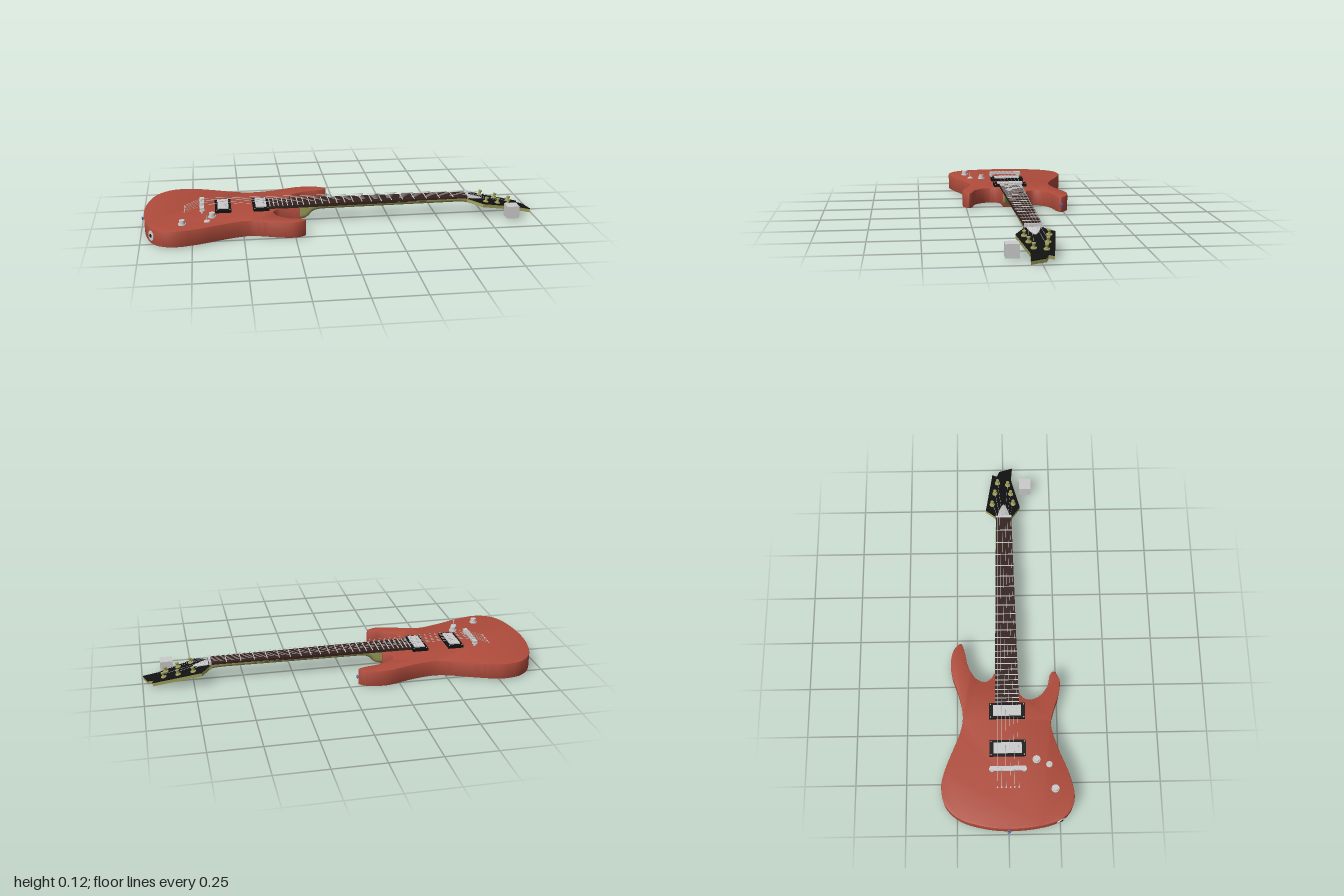
import * as THREE from 'three';
import { toCreasedNormals } from 'three/addons/utils/BufferGeometryUtils.js';

const mat = (color) => new THREE.MeshStandardMaterial({ color });
const RED = mat(0xb04c3c), WOOD = mat(0xa0a05c), BLACK = mat(0x111111), ROSE = mat(0x35221e);
const GREY = mat(0xcccccc), BLUE = mat(0x6a5fb0);
const V2 = (p) => new THREE.Vector2(p[0], p[1]);

function add(parent, name, geo, material, x = 0, y = 0, z = 0) {
  const m = new THREE.Mesh(geo, material);
  m.name = name;
  m.position.set(x, y, z);
  parent.add(m);
  return m;
}
const box = (w, h, d) => new THREE.BoxGeometry(w, h, d);
const cyl = (r1, r2, h, n = 24) => new THREE.CylinderGeometry(r1, r2, h, n);

// Plan outline in (x, z), extruded downwards from y = 0
function slab(shape, depth, bevel = 0) {
  const g = new THREE.ExtrudeGeometry(shape, {
    depth: depth - 2 * bevel, bevelEnabled: bevel > 0, bevelSize: bevel,
    bevelThickness: bevel, bevelOffset: -bevel, bevelSegments: 2, curveSegments: 12,
  });
  g.translate(0, 0, bevel);
  g.rotateX(Math.PI / 2);
  return toCreasedNormals(g, 0.5);
}

// Skin through D-shaped sections [x, halfWidth, topY, bottomY, squareness]
function neckLoft(sections, n = 16) {
  const pos = [], idx = [];
  for (const [x, w, top, bottom, sq] of sections) {
    for (let i = 0; i <= n; i++) {
      const a = (i / n) * Math.PI, c = Math.cos(a), s = Math.sin(a);
      pos.push(x, top - (top - bottom) * Math.pow(s, sq), w * Math.sign(c) * Math.pow(Math.abs(c), sq));
    }
  }
  const row = n + 1;
  for (let j = 0; j < sections.length - 1; j++) {
    for (let i = 0; i < row; i++) {
      const k = (i + 1) % row, a = j * row + i, b = j * row + k;
      idx.push(a, b, a + row, b, b + row, a + row);
    }
  }
  const last = (sections.length - 1) * row;
  for (let i = 1; i < n; i++) {
    idx.push(0, i + 1, i);
    idx.push(last, last + i, last + i + 1);
  }
  const g = new THREE.BufferGeometry();
  g.setAttribute('position', new THREE.Float32BufferAttribute(pos, 3));
  g.setIndex(idx);
  return toCreasedNormals(g, 0.6);
}

export function createModel() {
  const guitar = new THREE.Group();
  guitar.name = 'guitar';
  const TOP = 0.086, NUT = 0.66, SCALE = 1.36, END = -0.365;

  // Body: one smooth outline from the neck joint round to the other side of it
  const outline = [
    [-0.21, -0.062], [-0.235, -0.08], [-0.25, -0.11], [-0.23, -0.155], [-0.165, -0.193], [-0.08, -0.212],
    [-0.045, -0.232], [-0.08, -0.265], [-0.14, -0.279], [-0.21, -0.274], [-0.32, -0.238], [-0.425, -0.22],
    [-0.51, -0.233], [-0.64, -0.286], [-0.72, -0.315], [-0.79, -0.325], [-0.87, -0.305], [-0.935, -0.235],
    [-0.972, -0.12], [-0.985, 0], [-0.976, 0.13], [-0.95, 0.235], [-0.905, 0.295], [-0.83, 0.32],
    [-0.72, 0.297], [-0.6, 0.25], [-0.48, 0.216], [-0.4, 0.232], [-0.32, 0.259], [-0.25, 0.267],
    [-0.2, 0.242], [-0.22, 0.218], [-0.28, 0.203], [-0.33, 0.16], [-0.346, 0.11], [-0.325, 0.07], [-0.28, 0.058],
  ].map(V2);
  const bodyShape = new THREE.Shape(new THREE.SplineCurve(outline).getPoints(180));
  bodyShape.lineTo(-0.21, 0.056);
  add(guitar, 'body', slab(bodyShape, 0.081, 0.003), RED, 0, TOP, 0);

  // Neck with its curved heel
  add(guitar, 'neck', neckLoft([
    [-0.22, 0.056, 0.09, 0.018, 0.3], [-0.185, 0.056, 0.09, 0.022, 0.35], [-0.165, 0.055, 0.09, 0.033, 0.45],
    [-0.15, 0.055, 0.09, 0.05, 0.6], [-0.13, 0.054, 0.09, 0.06, 0.7], [-0.1, 0.054, 0.09, 0.064, 0.8],
    [0.6, 0.043, 0.09, 0.066, 0.8], [0.64, 0.042, 0.09, 0.066, 0.6], [0.69, 0.042, 0.08, 0.062, 0.4],
  ]), WOOD);

  // Fretboard, frets and nut
  const halfWidth = (x) => 0.041 + (NUT - x) * 0.0185;
  const board = new THREE.Shape([[END, halfWidth(END)], [NUT, halfWidth(NUT)],
    [NUT, -halfWidth(NUT)], [END, -halfWidth(END)]].map(V2));
  add(guitar, 'fretboard', slab(board, 0.015), ROSE, 0, 0.1, 0);
  for (let n = 1; n <= 24; n++) {
    const x = NUT - SCALE * (1 - Math.pow(2, -n / 12));
    add(guitar, 'fret', box(0.004, 0.003, 2 * halfWidth(x)), GREY, x, 0.101, 0);
  }
  add(guitar, 'nut', box(0.01, 0.022, 0.084), GREY, NUT + 0.004, 0.095, 0);

  // Headstock, tilted back, in its own frame
  const head = new THREE.Group();
  head.name = 'headstock';
  head.position.set(NUT, 0.089, 0);
  head.rotation.z = -0.2;
  guitar.add(head);
  const headShape = new THREE.Shape([
    [0, -0.041], [0.015, -0.046], [0.055, -0.094], [0.3, -0.057], [0.288, -0.032], [0.322, -0.02],
    [0.344, 0.05], [0.265, 0.043], [0.075, 0.087], [0.015, 0.046], [0, 0.041],
  ].map(V2));
  add(head, 'headstockFace', slab(headShape, 0.004), BLACK);
  add(head, 'headstockWood', slab(headShape, 0.017), WOOD, 0, -0.004, 0);
  const cover = new THREE.Shape();
  cover.moveTo(0.012, -0.032);
  cover.quadraticCurveTo(0.055, -0.025, 0.085, -0.006);
  cover.quadraticCurveTo(0.092, 0, 0.085, 0.006);
  cover.quadraticCurveTo(0.055, 0.025, 0.012, 0.032);
  add(head, 'trussRodCover', slab(cover, 0.005, 0.001), GREY, 0, 0.005, 0);

  // Tuning posts, listed so that strings never cross
  const posts = [[0.092, -0.06], [0.168, -0.045], [0.24, -0.03], [0.226, 0.025], [0.163, 0.04], [0.097, 0.052]];
  const postProfile = [[0, 0], [0.014, 0], [0.014, 0.004], [0.008, 0.006], [0.006, 0.015],
    [0.009, 0.022], [0.009, 0.026], [0, 0.027]].map(V2);
  const postGeo = toCreasedNormals(new THREE.LatheGeometry(postProfile, 16), 0.5);
  for (const [x, z] of posts) add(head, 'tuningPost', postGeo, WOOD, x, 0, z);

  // Pickups: black frame, metal cover, pole screws
  for (const x of [-0.594, -0.405]) {
    const pickup = new THREE.Group();
    pickup.name = 'pickup';
    pickup.position.set(x, TOP, 0);
    guitar.add(pickup);
    add(pickup, 'pickupFrame', box(0.08, 0.014, 0.178), BLACK, 0, 0.007, 0);
    add(pickup, 'pickupCover', box(0.054, 0.02, 0.138), GREY, 0, 0.01, 0);
    for (let i = 0; i < 6; i++) {
      add(pickup, 'poleScrew', cyl(0.004, 0.004, 0.002, 12), GREY, 0.014, 0.021, (i - 2.5) * 0.021);
    }
    for (const sx of [-1, 1]) for (const sz of [-1, 1]) {
      add(pickup, 'frameScrew', cyl(0.003, 0.003, 0.002, 10), GREY, sx * 0.033, 0.0145, sz * 0.082);
    }
  }

  // Bridge on two posts, with saddles
  add(guitar, 'bridge', box(0.022, 0.012, 0.176), GREY, -0.698, 0.11, 0);
  for (const s of [-1, 1]) {
    add(guitar, 'bridgePost', cyl(0.007, 0.007, 0.032, 16), GREY, -0.698, 0.1, s * 0.078);
    add(guitar, 'bridgeWheel', cyl(0.014, 0.014, 0.004), GREY, -0.698, 0.1, s * 0.078);
  }

  // Strings with saddles and through-body ferrules
  head.updateMatrix();
  for (let i = 0; i < 6; i++) {
    const t = i - 2.5, zb = t * 0.021, zn = t * 0.0135;
    add(guitar, 'saddle', box(0.014, 0.005, 0.01), GREY, -0.698, 0.117, zb);
    add(guitar, 'topFerrule', cyl(0.004, 0.004, 0.002, 12), GREY, -0.785, TOP + 0.001, zb);
    add(guitar, 'backFerrule', cyl(0.006, 0.006, 0.004, 12), BLACK, -0.785, 0.0045, zb);
    const post = new THREE.Vector3(posts[i][0], 0.015, posts[i][1]).applyMatrix4(head.matrix);
    const path = new THREE.CurvePath();
    const pts = [new THREE.Vector3(-0.785, TOP, zb), new THREE.Vector3(-0.698, 0.12, zb),
      new THREE.Vector3(NUT + 0.004, 0.107, zn), post];
    for (let k = 0; k < 3; k++) path.add(new THREE.LineCurve3(pts[k], pts[k + 1]));
    for (const seg of path.curves) {
      add(guitar, 'string', new THREE.TubeGeometry(seg, 1, 0.001 - i * 0.0001, 5), GREY);
    }
  }

  // Control knobs and selector switch
  for (const [x, z] of [[-0.795, 0.228], [-0.65, 0.14]]) {
    add(guitar, 'knobBase', cyl(0.019, 0.02, 0.006), GREY, x, TOP + 0.003, z);
    add(guitar, 'knob', cyl(0.014, 0.015, 0.018), GREY, x, TOP + 0.014, z);
  }
  add(guitar, 'switchBase', cyl(0.014, 0.016, 0.006), GREY, -0.675, TOP + 0.003, 0.202);
  add(guitar, 'switchLever', cyl(0.003, 0.0015, 0.028, 10), GREY, -0.675, TOP + 0.018, 0.204);

  // Strap buttons at the tail and the long horn
  const button = toCreasedNormals(new THREE.LatheGeometry(
    [[0, 0], [0.008, 0], [0.005, 0.005], [0.005, 0.009], [0.01, 0.012], [0.008, 0.015], [0, 0.015]].map(V2), 16), 0.5);
  add(guitar, 'tailStrapButton', button, BLUE, -0.984, 0.046, 0).rotation.z = Math.PI / 2;
  add(guitar, 'hornStrapButton', button, BLUE, -0.052, 0.046, -0.232).rotation.z = -Math.PI / 2;

  // Oval jack plate and socket on the lower rear side
  const jack = new THREE.Group();
  jack.name = 'outputJack';
  jack.position.set(-0.942, 0.046, 0.252);
  jack.rotation.y = -1.0;
  guitar.add(jack);
  const plate = add(jack, 'jackPlate', cyl(0.025, 0.025, 0.006), GREY);
  plate.rotation.x = Math.PI / 2;
  plate.scale.x = 0.9;
  add(jack, 'jackSocket', cyl(0.009, 0.009, 0.012, 16), BLACK).rotation.x = Math.PI / 2;

  // Loose cube beside the headstock
  add(guitar, 'cube', box(0.063, 0.063, 0.063), GREY, 0.875, 0.039, 0.117);
  return guitar;
}
